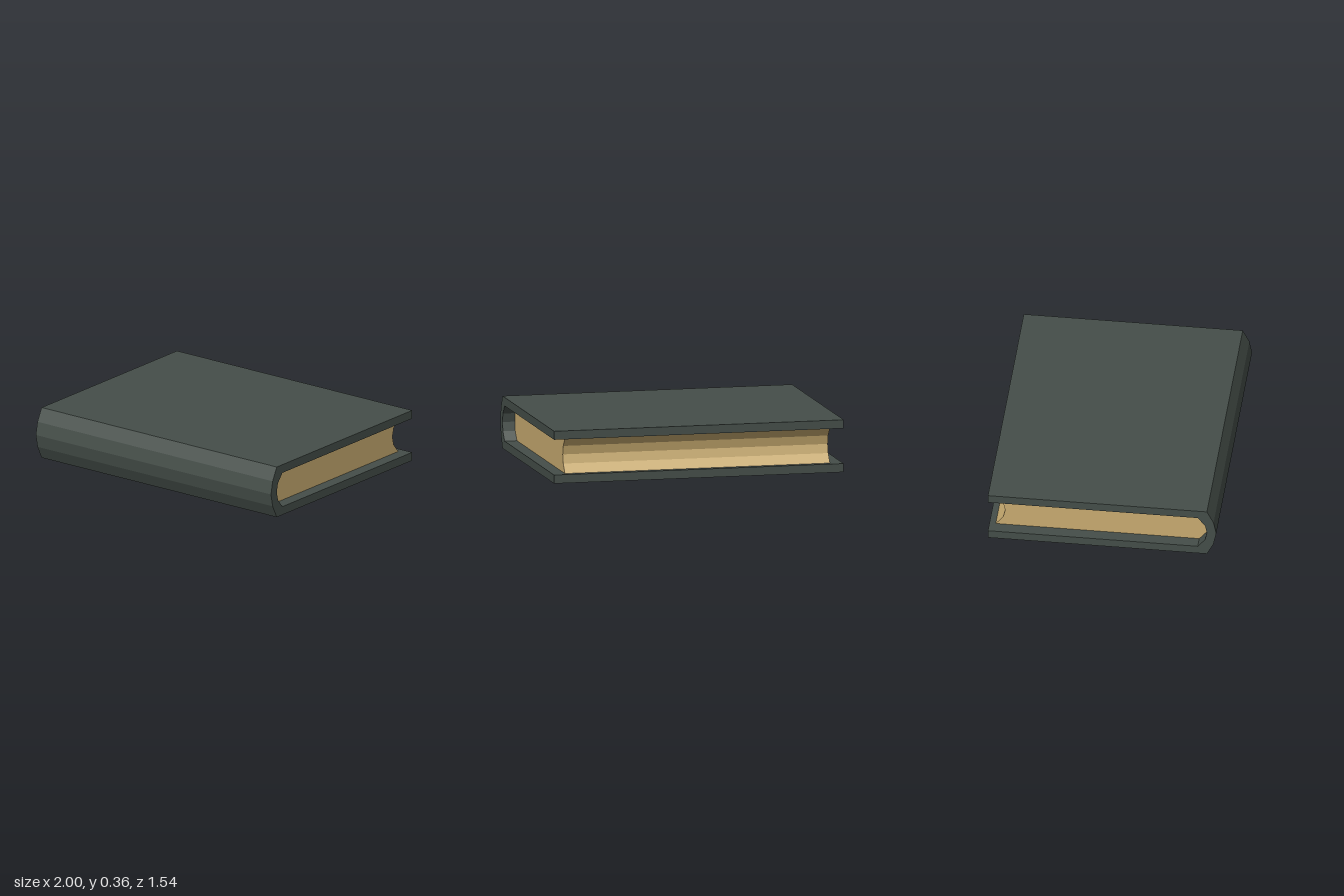
import * as THREE from 'three';

const HEIGHT = 0.356;
const MID = HEIGHT / 2;

// Extrudes a [z, y] outline along x, centred on x = 0
function extrudeAlongX(name, outline, length, material) {
  const shape = new THREE.Shape(outline.map(([z, y]) => new THREE.Vector2(-z, y)));
  const geometry = new THREE.ExtrudeGeometry(shape, { depth: length, bevelEnabled: false });
  geometry.translate(0, 0, -length / 2);
  geometry.rotateY(Math.PI / 2);
  const mesh = new THREE.Mesh(geometry, material);
  mesh.name = name;
  return mesh;
}

// Completes a curve given from its lower end to mid height by mirroring it upward
function mirrorUp(lower) {
  const upper = lower.slice(0, -1).reverse().map(([z, y]) => [z, HEIGHT - y]);
  return [...lower, ...upper];
}

export function createModel() {
  const coverMaterial = new THREE.MeshStandardMaterial({ color: 0x454e49, flatShading: true });
  coverMaterial.name = 'dark green cover';
  const paperMaterial = new THREE.MeshStandardMaterial({ color: 0xc9ac71, flatShading: true });
  paperMaterial.name = 'aged paper';

  // Faceted curves, listed from the bottom up
  const spineOutside = mirrorUp([[0.709, 0], [0.754, 0.089], [0.772, MID]]);
  const spineInside = mirrorUp([[0.647, 0.058], [0.696, 0.118], [0.709, MID]]);
  const foreEdge = mirrorUp([[-0.729, 0.058], [-0.68, 0.118], [-0.665, MID]]);

  const book = new THREE.Group();
  book.name = 'book';

  // Both boards and the rounded spine form one C-shaped section
  book.add(extrudeAlongX('cover', [
    [-0.772, 0], ...spineOutside, [-0.772, HEIGHT],
    [-0.772, HEIGHT - 0.058], ...spineInside.slice().reverse(), [-0.772, 0.058],
  ], 2, coverMaterial));

  // Page block, rounded at the spine and hollow at the fore edge, set in at both ends
  book.add(extrudeAlongX('pages', [
    ...spineInside, ...foreEdge.slice().reverse(),
  ], 1.83, paperMaterial));

  return book;
}
